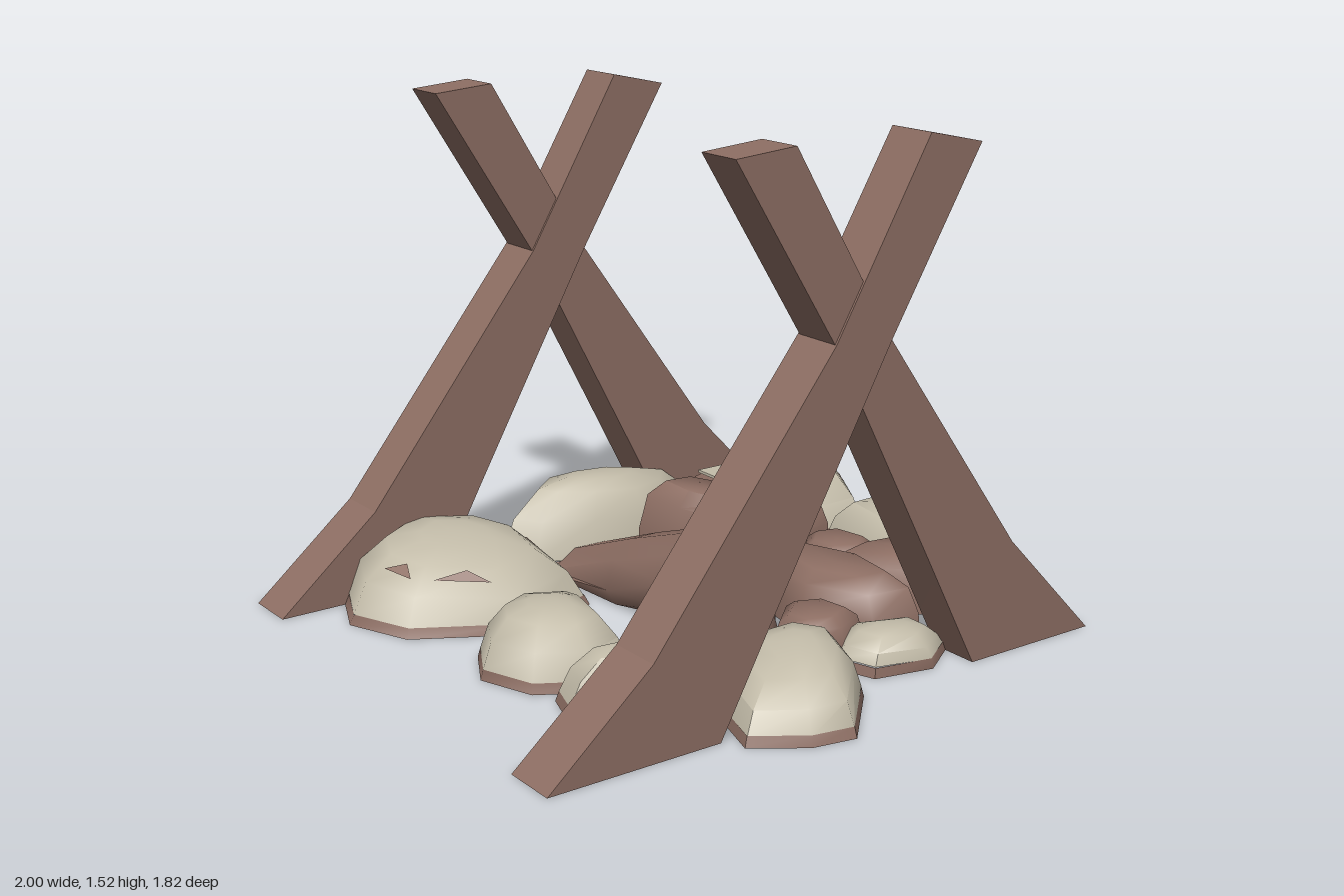
import * as THREE from 'three';
import { toCreasedNormals } from 'three/addons/utils/BufferGeometryUtils.js';

const brown = new THREE.MeshStandardMaterial({ color: 0x8d6e63, side: THREE.DoubleSide });
brown.name = 'brown wood';
const pale = new THREE.MeshStandardMaterial({ color: 0xc4bdaa, side: THREE.DoubleSide });
pale.name = 'pale stone';

// Stacks rings of equal length into a skin, optionally closed at either end.
function skin(rings, closeStart, closeEnd, crease) {
  const n = rings[0].length, pos = rings.flat(2), idx = [];
  for (let r = 0; r < rings.length - 1; r++) {
    for (let i = 0; i < n; i++) {
      const a = r * n + i, b = r * n + (i + 1) % n;
      idx.push(a, a + n, b, b, a + n, b + n);
    }
  }
  const cap = (ring, base, flip) => {
    const c = pos.length / 3;
    for (let k = 0; k < 3; k++) pos.push(ring.reduce((s, p) => s + p[k], 0) / n);
    for (let i = 0; i < n; i++) {
      const a = base + i, b = base + (i + 1) % n;
      idx.push(c, flip ? b : a, flip ? a : b);
    }
  };
  if (closeStart) cap(rings[0], 0, false);
  if (closeEnd) cap(rings[rings.length - 1], (rings.length - 1) * n, true);
  const geo = new THREE.BufferGeometry();
  geo.setAttribute('position', new THREE.Float32BufferAttribute(pos, 3));
  geo.setIndex(idx);
  return toCreasedNormals(geo, crease);
}

function addMesh(parent, name, geo, mat) {
  const mesh = new THREE.Mesh(geo, mat);
  mesh.name = name;
  parent.add(mesh);
  return mesh;
}

// Rings over a ground outline [x, z]; each level is [scale, height]; lean tilts the top.
function stoneRings(outline, levels, lean = [0, 0]) {
  const pts = outline.map(([x, z]) => new THREE.Vector2(x, z));
  if (THREE.ShapeUtils.area(pts) < 0) pts.reverse();
  const c = pts.reduce((s, p) => s.add(p), new THREE.Vector2()).divideScalar(pts.length);
  const top = levels[levels.length - 1][1];
  return levels.map(([s, y]) => pts.map((p) => {
    const dx = (p.x - c.x) * s, dz = (p.y - c.y) * s;
    return [c.x + dx, y + (dx * lean[0] + dz * lean[1]) * y / top, c.y + dz];
  }));
}

// Thin brown sliver lying on one facet between two dome rings.
function scuffGeometry(lower, upper, i) {
  const j = (i + 1) % lower.length;
  const [a, b, c, d] = [lower[i], lower[j], upper[i], upper[j]].map((p) => new THREE.Vector3(...p));
  const pts = [[0.2, 0.45], [0.45, 0.85], [0.85, 0.5]].map(([u, v]) => {
    const p = a.clone().lerp(b, u).lerp(c.clone().lerp(d, u), v);
    p.y += 0.006;
    return p;
  });
  const geo = new THREE.BufferGeometry().setFromPoints(pts);
  geo.computeVertexNormals();
  if (geo.attributes.normal.getY(0) < 0) {
    geo.setFromPoints(pts.reverse());
    geo.computeVertexNormals();
  }
  return geo;
}

// Pale domed stone with a brown rim at the ground, open underneath.
function rimStone(parent, name, h, outline, lean, scuffs = []) {
  const g = new THREE.Group();
  g.name = name;
  const rim = [0.96, 0.03];
  addMesh(g, 'rim', skin(stoneRings(outline, [[1, 0], rim]), false, false, 0.9), brown);
  const levels = [rim, [0.84, h * 0.55], [0.6, h * 0.87], [0.3, h * 0.98], [0.1, h]];
  const rings = stoneRings(outline, levels, lean);
  addMesh(g, 'dome', skin(rings, false, true, 0.9), pale);
  for (const i of scuffs) addMesh(g, 'scuff', scuffGeometry(rings[1], rings[2], i), brown);
  parent.add(g);
}

// Plain brown chunk with a flatter top, open underneath.
function chunk(parent, name, h, outline, lean) {
  const levels = [[1, 0], [0.98, h * 0.4], [0.86, h * 0.8], [0.6, h]];
  addMesh(parent, name, skin(stoneRings(outline, levels, lean), false, true, 1.1), brown);
}

// Crossed beams with splayed feet; each station pairs a left and a right edge point.
function crossedFrame(name, z) {
  const g = new THREE.Group();
  g.name = name;
  const beam = (label, stations, depth) => {
    const rings = stations.map(([x0, y0, x1, y1]) => {
      const d = depth / 2 * (1 - 0.05 * y0);
      return [[x0, y0, -d], [x1, y1, -d], [x1, y1, d], [x0, y0, d]];
    });
    addMesh(g, label, skin(rings, false, true, 0.05), brown);
  };
  beam('rightFootBeam', [[-1, 0, -0.47, 0], [-0.68, 0.27, -0.32, 0.27], [-0.1, 1, 0.09, 0.99], [0.21, 1.52, 0.39, 1.48]], 0.166);
  beam('leftFootBeam', [[0.42, 0, 0.875, 0], [0.25, 0.33, 0.56, 0.33], [-0.1, 1, 0.09, 0.99], [-0.42, 1.51, -0.23, 1.525]], 0.152);
  g.position.z = z;
  return g;
}

export function createModel() {
  const model = new THREE.Group();
  model.name = 'campfire';
  model.add(crossedFrame('frontFrame', 0.635), crossedFrame('backFrame', -0.82));

  // Ring of pale stones
  const ring = new THREE.Group();
  ring.name = 'stoneRing';
  model.add(ring);
  rimStone(ring, 'backRightStone', 0.22, [[-0.86, -0.58], [-0.78, -0.77], [-0.53, -0.91], [-0.27, -0.78], [-0.17, -0.6], [-0.2, -0.3], [-0.47, -0.2], [-0.78, -0.38]], [0, -0.14], [4, 6, 7]);
  rimStone(ring, 'backStone', 0.26, [[-0.27, -0.72], [-0.1, -0.88], [0.3, -0.89], [0.55, -0.76], [0.42, -0.6], [0.2, -0.51], [-0.02, -0.55], [-0.2, -0.63]], [-0.08, 0]);
  rimStone(ring, 'backLeftStone', 0.19, [[0.88, -0.78], [0.95, -0.74], [1, -0.5], [0.9, -0.32], [0.67, -0.34], [0.68, -0.55], [0.73, -0.76]], [0.1, 0], [2, 5]);
  rimStone(ring, 'leftStone', 0.18, [[0.71, -0.3], [0.97, -0.36], [0.985, 0], [0.9, 0.2], [0.68, 0.18], [0.65, 0]], [-0.1, 0]);
  rimStone(ring, 'frontLeftStone', 0.17, [[0.7, 0.22], [0.92, 0.2], [0.93, 0.32], [0.84, 0.53], [0.66, 0.51], [0.65, 0.36]], [-0.1, 0]);
  rimStone(ring, 'rightStone', 0.19, [[-0.53, -0.22], [-0.36, -0.13], [-0.34, -0.05], [-0.4, 0.21], [-0.55, 0.26], [-0.7, 0.17], [-0.76, 0], [-0.68, -0.15]]);
  rimStone(ring, 'frontRightStone', 0.18, [[-0.67, 0.24], [-0.5, 0.26], [-0.27, 0.36], [-0.25, 0.5], [-0.33, 0.57], [-0.5, 0.54], [-0.71, 0.36]]);
  rimStone(ring, 'frontStone', 0.18, [[-0.34, 0.46], [-0.2, 0.4], [0, 0.42], [0.08, 0.55], [0.02, 0.71], [-0.17, 0.905], [-0.3, 0.88], [-0.44, 0.78]], [0.08, -0.06]);
  rimStone(ring, 'frontSmallStone', 0.11, [[0.08, 0.52], [0.15, 0.43], [0.42, 0.48], [0.42, 0.6], [0.3, 0.68], [0.12, 0.64]], [-0.08, 0]);

  // Tilted log, sunk into the ground at its back end
  const logRings = [[-0.6, -0.08], [-0.25, 0.055], [0.08, 0.17]].map(([z, y], k) =>
    Array.from({ length: 10 }, (_, i) => {
      const a = i / 10 * Math.PI * 2, r = 0.145 + 0.008 * k;
      return [-0.02 + Math.cos(a) * r, Math.max(0.005, y + Math.sin(a) * 0.145), z - Math.sin(a) * 0.015];
    }).reverse());
  addMesh(model, 'log', skin(logRings, true, true, 0.9), brown);

  // Brown chunks in the fire bed
  const bed = new THREE.Group();
  bed.name = 'fireBed';
  model.add(bed);
  chunk(bed, 'raisedChunk', 0.26, [[0.13, -0.52], [0.3, -0.54], [0.38, -0.45], [0.45, -0.12], [0.3, -0.09], [0.15, -0.35]], [-0.1, -0.08]);
  chunk(bed, 'backChunk', 0.2, [[0.48, -0.74], [0.7, -0.74], [0.72, -0.28], [0.5, -0.24], [0.38, -0.4]], [0, -0.05]);
  chunk(bed, 'roundChunk', 0.13, [[0.43, -0.08], [0.53, -0.18], [0.64, -0.15], [0.67, 0.02], [0.57, 0.1], [0.46, 0.05]]);
  chunk(bed, 'longChunk', 0.18, [[0.36, -0.09], [0.2, 0.03], [0.17, 0.25], [0.27, 0.46], [0.43, 0.48], [0.47, 0.2]]);
  chunk(bed, 'sideChunk', 0.17, [[0.46, 0.06], [0.6, 0.08], [0.76, 0.2], [0.75, 0.35], [0.65, 0.43], [0.45, 0.28]]);
  chunk(bed, 'frontChunk', 0.15, [[-0.26, 0.3], [-0.22, 0.2], [-0.1, 0.15], [0.05, 0.2], [0.05, 0.3], [-0.1, 0.43], [-0.2, 0.4]]);
  chunk(bed, 'smallChunk', 0.13, [[-0.02, 0.36], [0.1, 0.25], [0.22, 0.3], [0.24, 0.45], [0.12, 0.51], [0, 0.47]]);
  chunk(bed, 'sliverChunk', 0.12, [[-0.09, 0.11], [0.05, 0.09], [0.12, 0.2], [0.06, 0.25]]);

  // Pale patch on the back chunk
  const patch = addMesh(bed, 'palePatch', new THREE.BoxGeometry(0.21, 0.009, 0.13), pale);
  patch.position.set(0.555, 0.213, -0.565);
  return model;
}
